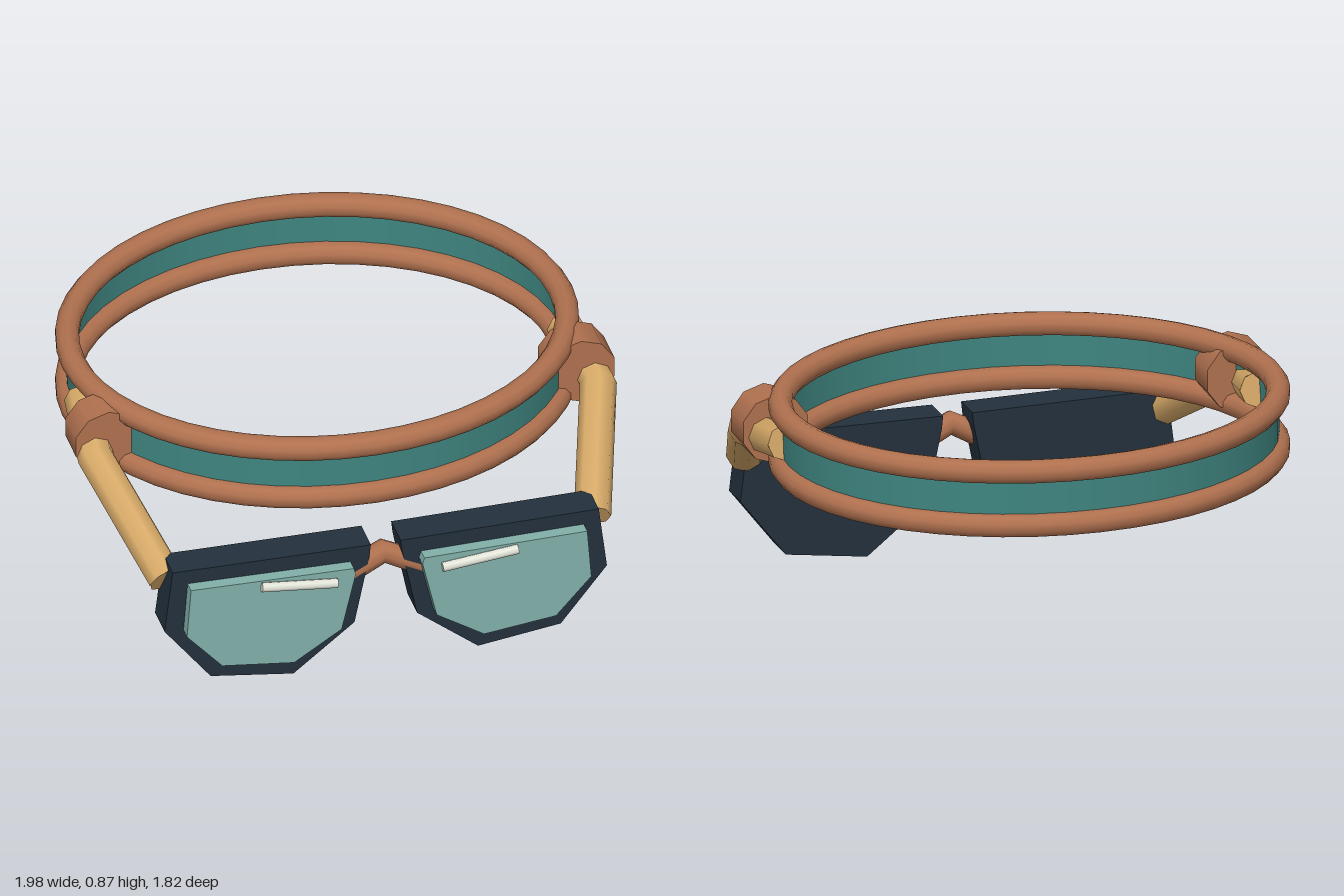
import * as THREE from 'three';

const mat = (name, color, side = THREE.FrontSide) => {
  const m = new THREE.MeshStandardMaterial({ color, side });
  m.name = name;
  return m;
};

// Straight-legged path, evenly divided between its points
class BentPath extends THREE.Curve {
  constructor(points) {
    super();
    this.points = points.map((p) => new THREE.Vector3(...p));
  }
  getPoint(t, target = new THREE.Vector3()) {
    const n = this.points.length - 1;
    const i = Math.min(Math.floor(t * n), n - 1);
    return target.lerpVectors(this.points[i], this.points[i + 1], t * n - i);
  }
  getUtoTmapping(u) { return u; }
}

// Horizontal ellipse for the headband rims
class RimPath extends THREE.Curve {
  constructor(rx, rz) { super(); this.rx = rx; this.rz = rz; }
  getPoint(t, target = new THREE.Vector3()) {
    const a = t * Math.PI * 2;
    return target.set(this.rx * Math.cos(a), 0, this.rz * Math.sin(a));
  }
  getUtoTmapping(u) { return u; }
}

export function createModel() {
  const model = new THREE.Group();
  const copper = mat('copper', 0xb0714f);
  const teal = mat('teal band', 0x3f8580, THREE.DoubleSide);
  const tan = mat('tan', 0xd6a968);
  const navy = mat('navy frame', 0x23303c);
  const glass = mat('pale glass', 0x82b0a9);
  const white = mat('off white', 0xe6e8dc);

  const add = (name, geometry, material, x = 0, y = 0, z = 0, parent = model) => {
    const mesh = new THREE.Mesh(geometry, material);
    mesh.name = name;
    mesh.position.set(x, y, z);
    parent.add(mesh);
    return mesh;
  };

  // Bent rod with flat caps at both ends
  const addRod = (name, points, radius, sides, material) => {
    const group = new THREE.Group();
    group.name = name;
    model.add(group);
    const path = new BentPath(points);
    add(name + 'Tube', new THREE.TubeGeometry(path, points.length - 1, radius, sides), material, 0, 0, 0, group);
    for (const t of [0, 1]) {
      const p = path.getPoint(t);
      const outward = path.getTangent(t).multiplyScalar(t ? 1 : -1);
      const cap = add(name + 'Cap', new THREE.CircleGeometry(radius, sides), material, p.x, p.y, p.z, group);
      cap.lookAt(p.clone().add(outward));
    }
  };

  // Solid plate from an outline; s mirrors it across x
  const plate = (outline, s, depth) => {
    const shape = new THREE.Shape(outline.map(([x, y]) => new THREE.Vector2(s * x, y)));
    return new THREE.ExtrudeGeometry(shape, { depth, bevelEnabled: false });
  };

  // Headband: two rims with a thin band between them
  const bandZ = -0.086;
  for (const [name, y] of [['upperRim', 0.834], ['lowerRim', 0.632]]) {
    add(name, new THREE.TubeGeometry(new RimPath(0.897, 0.78), 48, 0.044, 10, true), copper, 0, y, bandZ);
  }
  const band = add('headBand', new THREE.CylinderGeometry(1, 1, 0.19, 48, 1, true), teal, 0, 0.733, bandZ);
  band.scale.set(0.9, 1, 0.783);

  const frameOutline = [[0.785, 0.51], [0.055, 0.503], [0.06, 0.455], [0.115, 0.185],
    [0.34, 0.005], [0.645, 0.047], [0.815, 0.265]];
  const lensOutline = [[0.73, 0.455], [0.13, 0.445], [0.123, 0.42], [0.175, 0.195],
    [0.35, 0.083], [0.615, 0.115], [0.745, 0.26]];

  for (const s of [1, -1]) {
    const side = s > 0 ? 'left' : 'right';

    // Eyepiece: frame, raised lens and glint bar
    add(side + 'Frame', plate(frameOutline, s, 0.128), navy, 0, 0, 0.712);
    add(side + 'Lens', plate(lensOutline, s, 0.05), glass, 0, 0, 0.837);
    const glint = add(side + 'Glint', new THREE.CylinderGeometry(0.018, 0.018, 0.28, 8), white,
      s * 0.333, 0.416, 0.897);
    glint.rotation.z = s * (0.105 - Math.PI / 2);

    // Side arm and the hinge that holds it to the band
    addRod(side + 'Arm', [[s * 0.785, 0.43, 0.755], [s * 0.925, 0.69, 0.32], [s * 0.887, 0.736, 0]],
      0.067, 8, tan);
    const hinge = add(side + 'Hinge', new THREE.CylinderGeometry(0.128, 0.128, 0.138, 10), copper,
      s * 0.87, 0.732, 0.223);
    hinge.rotation.x = Math.PI / 2;
  }

  // Nose bridge
  addRod('noseBridge', [[-0.14, 0.37, 0.8], [0, 0.443, 0.8], [0.14, 0.37, 0.8]], 0.045, 8, copper);

  return model;
}
